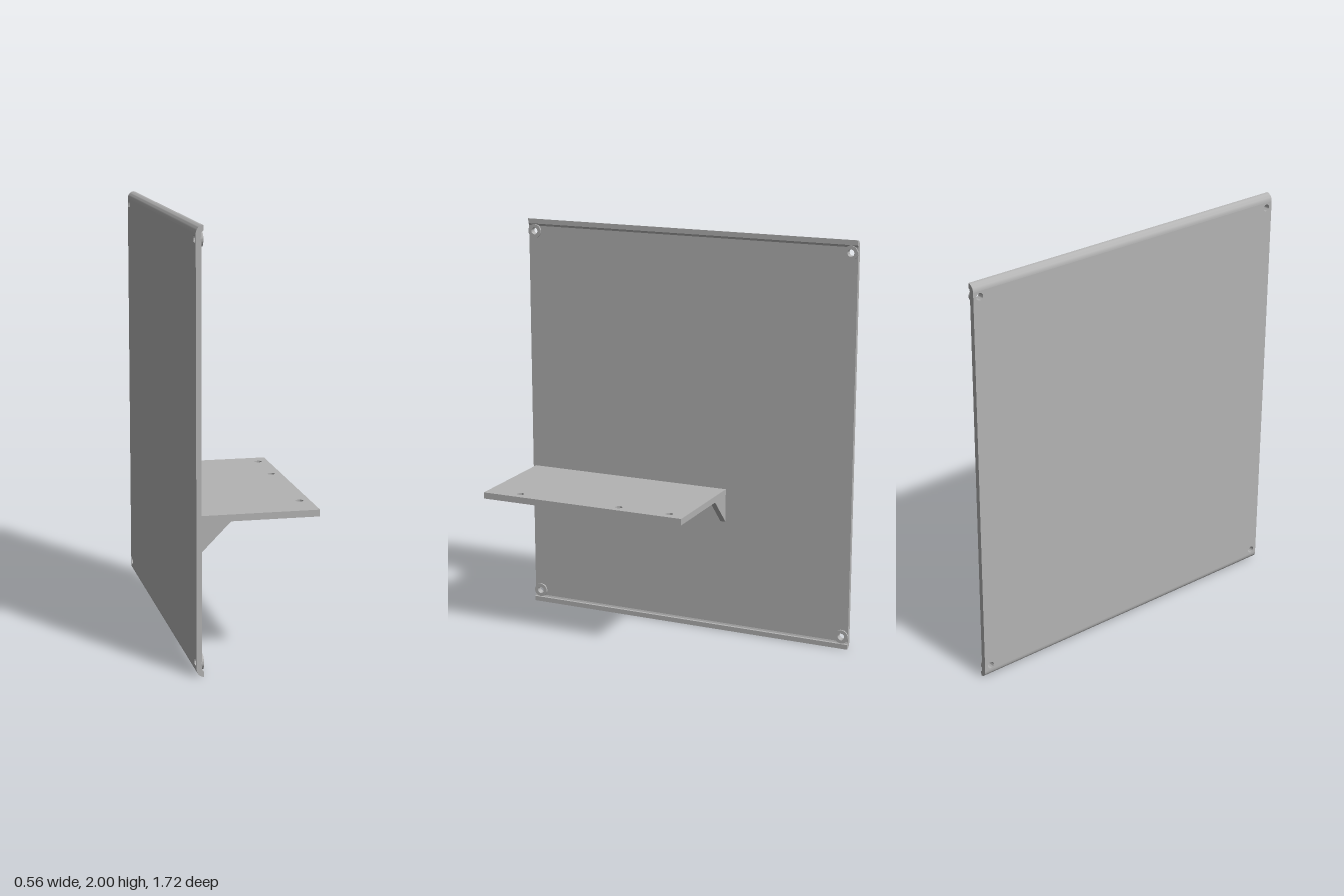
import * as THREE from 'three';
import { toCreasedNormals } from 'three/addons/utils/BufferGeometryUtils.js';

const BACK = -0.282, FACE = -0.258, LIP = -0.249; // x of panel back, panel face, lip edge
const HALF = 0.857, ROUND = 0.035;               // half panel width, edge radius

const polygon = (pts) => new THREE.Shape(pts.map(([x, y]) => new THREE.Vector2(x, y)));

function addHole(shape, x, y, r) {
  const hole = new THREE.Path();
  hole.absarc(x, y, r, 0, Math.PI * 2, true);
  shape.holes.push(hole);
}

function extrude(shape, depth) {
  const g = new THREE.ExtrudeGeometry(shape, { depth, bevelEnabled: false, curveSegments: 16 });
  return toCreasedNormals(g, 0.6);
}

export function createModel() {
  const group = new THREE.Group();
  const grey = new THREE.MeshStandardMaterial({ color: 0xb3b3b3 });
  grey.name = 'grey';
  const add = (name, geometry) => {
    const mesh = new THREE.Mesh(geometry, grey);
    mesh.name = name;
    group.add(mesh);
  };

  // Flat back panel with a screw hole in each corner
  const low = ROUND, high = 2 - ROUND;
  const panel = polygon([[-HALF, low], [HALF, low], [HALF, high], [-HALF, high]]);
  const corners = [];
  for (const z of [-0.824, 0.824]) for (const y of [0.061, 1.939]) corners.push([z, y]);
  for (const [z, y] of corners) addHole(panel, z, y, 0.017);
  add('backPanel', extrude(panel, FACE - BACK).rotateY(Math.PI / 2).translate(BACK, 0, 0));

  // Raised ring around each screw hole
  for (const [z, y] of corners) {
    const ring = new THREE.Shape();
    ring.absarc(z, y, 0.034, 0, Math.PI * 2, false);
    addHole(ring, z, y, 0.017);
    add('screwRing', extrude(ring, LIP - FACE + 0.004)
      .rotateY(Math.PI / 2).translate(FACE - 0.004, 0, 0));
  }

  // Curled lips along the top and bottom edges
  for (const top of [true, false]) {
    const profile = [[FACE, high], [BACK, high]];
    for (let i = 1; i <= 8; i++) {
      const a = (i / 8) * Math.PI / 2;
      profile.push([BACK + (LIP - BACK) * (1 - Math.cos(a)), high + ROUND * Math.sin(a)]);
    }
    profile.push([LIP, 1.976], [FACE + 0.003, 1.973]);
    const pts = profile.map(([x, y]) => [x, top ? y : 2 - y]);
    add(top ? 'topLip' : 'bottomLip', extrude(polygon(pts), 2 * HALF).translate(0, 0, -HALF));
  }

  // Shelf with three holes along its outer edge
  const z0 = -0.209, z1 = 0.843;
  const shelf = polygon([[FACE, z0], [0.279, z0], [0.279, z1], [FACE, z1]]);
  for (const z of [-0.126, 0.137, 0.667]) addHole(shelf, 0.23, z, 0.018);
  add('shelf', extrude(shelf, 0.031).rotateX(Math.PI / 2).translate(0, 0.731, 0));

  // Triangular brackets under the shelf
  const bracket = polygon([[FACE, 0.564], [-0.124, 0.7], [FACE, 0.7]]);
  for (const z of [z0, 0.304, z1 - 0.027]) {
    add('bracket', extrude(bracket, 0.027).translate(0, 0, z));
  }
  return group;
}
